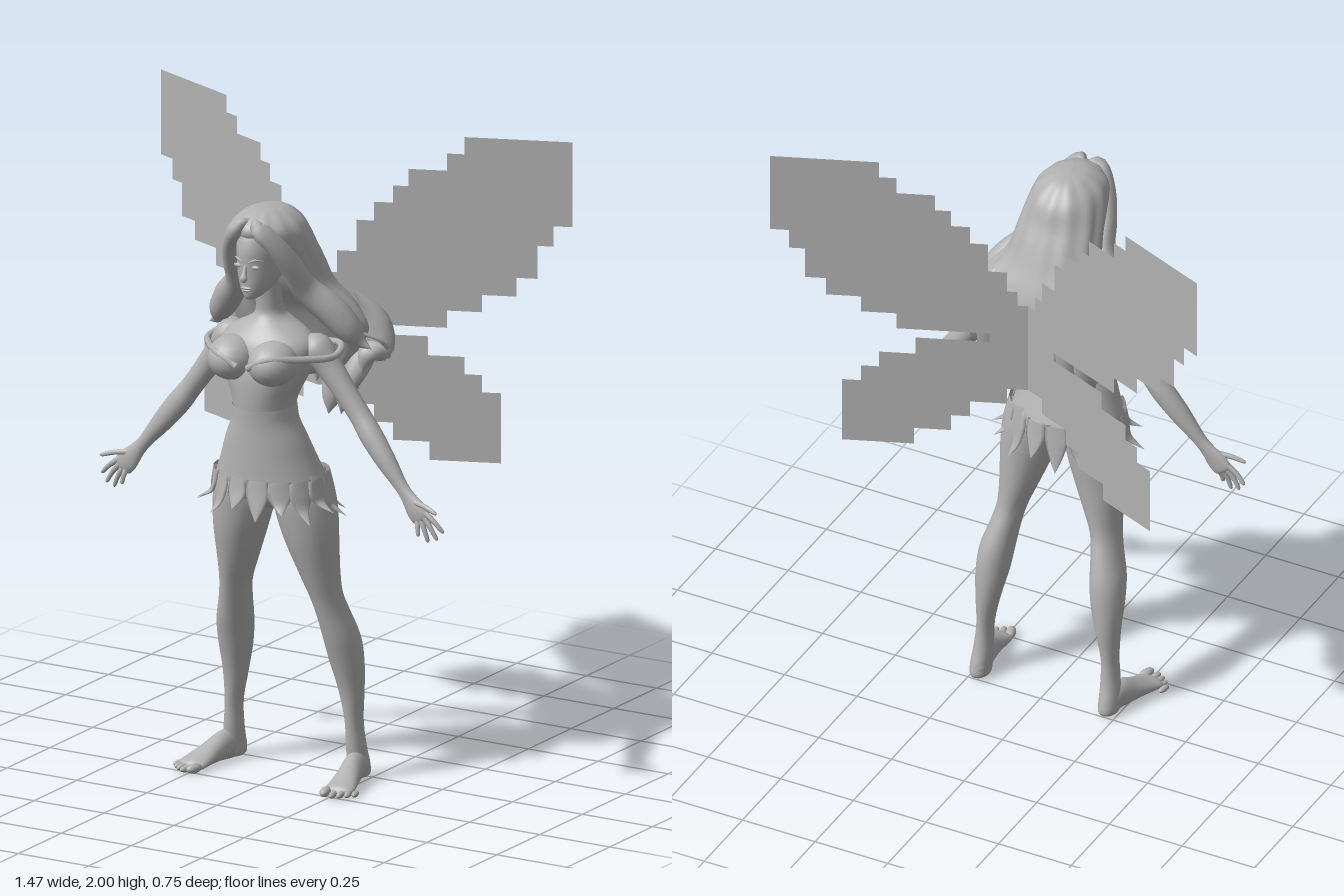
import * as THREE from 'three';

const grey = new THREE.MeshStandardMaterial({ color: 0xb2b2b2, side: THREE.DoubleSide });
grey.name = 'clay grey';

// Smooth skin through elliptical sections [x, y, z, a, b].
// Level sections lie flat; otherwise they stand across the path, with a along ref.
function loft(rows, { level = false, ref = [1, 0, 0], sides = 20, steps = 4, ripple = 0 } = {}) {
  const path = new THREE.CatmullRomCurve3(rows.map(r => new THREE.Vector3(r[0], r[1], r[2])), false, 'catmullrom');
  const size = new THREE.CatmullRomCurve3(rows.map(r => new THREE.Vector3(r[3], r[4], 0)), false, 'catmullrom');
  const n = (rows.length - 1) * steps, pos = [], index = [];
  const up = new THREE.Vector3(0, Math.sign(rows[rows.length - 1][1] - rows[0][1]), 0);
  for (let i = 0; i <= n; i++) {
    const c = path.getPoint(i / n), s = size.getPoint(i / n);
    const t = level ? up : path.getTangent(i / n);
    const u = new THREE.Vector3(...ref);
    u.addScaledVector(t, -u.dot(t)).normalize();
    const v = new THREE.Vector3().crossVectors(t, u);
    for (let j = 0; j < sides; j++) {
      const w = j / sides * Math.PI * 2, k = 1 + ripple * Math.cos(w * 12);
      const p = c.clone().addScaledVector(u, Math.max(s.x, 0) * k * Math.cos(w))
        .addScaledVector(v, Math.max(s.y, 0) * k * Math.sin(w));
      pos.push(p.x, p.y, p.z);
      if (i < n) {
        const a = i * sides + j, b = i * sides + (j + 1) % sides;
        index.push(a, b, b + sides, a, b + sides, a + sides);
      }
    }
  }
  const g = new THREE.BufferGeometry();
  g.setAttribute('position', new THREE.Float32BufferAttribute(pos, 3));
  g.setIndex(index);
  g.computeVertexNormals();
  return g;
}

// Profile rows [y, half width, front z, back z] to level sections
const profile = rows => rows.map(([y, w, f, b]) => [0, y, (f + b) / 2, w, (f - b) / 2]);
const flip = (rows, s) => rows.map(([x, ...rest]) => [x * s, ...rest]);

export function createModel() {
  const model = new THREE.Group();
  const add = (name, geometry) => {
    const m = new THREE.Mesh(geometry, grey);
    m.name = name;
    model.add(m);
    return m;
  };
  const blob = (name, x, y, z, a, b, c) => {
    const m = add(name, new THREE.SphereGeometry(1, 20, 14));
    m.position.set(x, y, z);
    m.scale.set(a, b, c);
    return m;
  };

  // Torso and neck
  add('torso', loft(profile([
    [1.60, 0.04, 0.25, 0.16], [1.54, 0.04, 0.24, 0.155], [1.50, 0.043, 0.237, 0.145], [1.475, 0.065, 0.25, 0.12],
    [1.445, 0.12, 0.275, 0.10], [1.41, 0.155, 0.30, 0.085], [1.36, 0.152, 0.315, 0.085], [1.30, 0.13, 0.325, 0.09],
    [1.24, 0.102, 0.325, 0.11], [1.18, 0.094, 0.32, 0.12], [1.10, 0.12, 0.31, 0.10]]), { level: true, sides: 32 }));
  blob('pelvis', 0, 0.97, 0.17, 0.165, 0.105, 0.115);

  // Skirt with a ragged hem of leaf points
  add('skirt', loft(profile([[1.21, 0.096, 0.327, 0.115], [1.16, 0.104, 0.325, 0.11], [1.10, 0.13, 0.325, 0.09],
    [1.04, 0.152, 0.325, 0.065], [0.98, 0.175, 0.325, 0.04], [0.945, 0.188, 0.328, 0.03]]), { level: true, sides: 40 }));
  for (let i = 0; i < 16; i++) {
    const w = (i + 0.5) / 16 * Math.PI * 2, c = Math.cos(w), s = Math.sin(w);
    const drop = (i % 2 ? 0.075 : 0.045) + (s < -0.3 ? 0.03 : 0);
    const at = (k, y, a, b) => [c * 0.186 * k, y, 0.18 + s * 0.147 * k, a, b];
    add('skirtLeaf', loft([at(0.96, 0.99, 0.034, 0.008), at(1.0, 0.945, 0.037, 0.007),
      at(1.07, 0.94 - drop * 0.55, 0.02, 0.005), at(1.1 + 0.25 * Math.abs(c), 0.94 - drop, 0, 0)],
    { ref: [-s, 0, c], sides: 8 }));
  }

  // Head and face
  add('head', loft(profile([[1.56, 0, 0.305, 0.295], [1.566, 0.02, 0.322, 0.26], [1.59, 0.042, 0.33, 0.2],
    [1.63, 0.061, 0.333, 0.15], [1.68, 0.071, 0.337, 0.1], [1.73, 0.073, 0.336, 0.09],
    [1.78, 0.058, 0.31, 0.11], [1.815, 0, 0.21, 0.2]]), { level: true, sides: 32 }));
  add('nose', loft([[0, 1.685, 0.328, 0.005, 0.006], [0, 1.65, 0.339, 0.008, 0.009],
    [0, 1.632, 0.345, 0.012, 0.010], [0, 1.622, 0.334, 0, 0]], { sides: 12 }));
  blob('upperLip', 0, 1.602, 0.331, 0.019, 0.005, 0.007);
  blob('lowerLip', 0, 1.594, 0.329, 0.015, 0.005, 0.007);

  // Hair mass
  add('hair', loft(profile([[1.836, 0, 0.21, 0.2], [1.827, 0.05, 0.27, 0.13], [1.80, 0.092, 0.318, 0.09],
    [1.765, 0.114, 0.328, 0.06], [1.71, 0.128, 0.28, 0.04], [1.65, 0.138, 0.235, 0.01], [1.58, 0.155, 0.20, -0.02],
    [1.51, 0.21, 0.14, -0.05], [1.44, 0.24, 0.10, -0.068], [1.37, 0.21, 0.07, -0.07], [1.29, 0.15, 0.055, -0.055],
    [1.24, 0, 0.01, 0]]), { level: true, sides: 72, ripple: 0.02 }));

  for (const s of [1, -1]) {
    const limb = (name, rows, options) => add(name, loft(flip(rows, s), options));

    blob('breast', s * 0.072, 1.362, 0.288, 0.076, 0.07, 0.087);
    blob('eye', s * 0.03, 1.67, 0.326, 0.015, 0.007, 0.007);
    limb('eyebrow', [[0.012, 1.685, 0.335, 0.002, 0.003], [0.03, 1.693, 0.33, 0.004, 0.004],
      [0.052, 1.69, 0.31, 0.001, 0.001]], { ref: [0, 1, 0], sides: 8 });

    // Off-shoulder strap
    const strap = [[0.02, 1.355, 0.355], [0.085, 1.39, 0.358], [0.16, 1.385, 0.28], [0.222, 1.38, 0.18],
      [0.19, 1.395, 0.09], [0.08, 1.385, 0.075]].map(p => new THREE.Vector3(p[0] * s, p[1], p[2]));
    add('strap', new THREE.TubeGeometry(new THREE.CatmullRomCurve3(strap), 32, 0.011, 8));

    // Locks framing the face, then falling over the shoulders and back
    limb('frontLock', [[0.0, 1.81, 0.285, 0, 0], [0.035, 1.79, 0.315, 0.025, 0.03], [0.08, 1.735, 0.285, 0.024, 0.036],
      [0.105, 1.66, 0.235, 0.03, 0.04], [0.122, 1.58, 0.18, 0.036, 0.045], [0.18, 1.51, 0.13, 0.045, 0.05],
      [0.225, 1.45, 0.10, 0.04, 0.045], [0.25, 1.41, 0.08, 0.02, 0.025], [0.29, 1.385, 0.07, 0, 0]], { sides: 14 });
    const locks = [[0.04, 1.22, -0.02], [0.10, 1.13, 0.0], [0.155, 1.14, 0.01], [0.19, 1.2, 0.02], [0.24, 1.28, 0.02]];
    for (const [x, y, z] of locks)
      limb('backLock', [[x * 0.8, 1.55, 0.02, 0, 0], [x, 1.45, -0.035, 0.042, 0.035],
        [x * 1.08, 1.36, -0.035, 0.042, 0.035], [x, y + 0.07, z - 0.01, 0.034, 0.028], [x * 0.92, y, z, 0, 0]],
      { sides: 12 });
    const curl = [[0.02, 1.46, -0.06], [0.09, 1.43, -0.105], [0.18, 1.38, -0.088], [0.28, 1.33, -0.045],
      [0.285, 1.39, 0.0], [0.24, 1.42, 0.04]].map(p => new THREE.Vector3(p[0] * s, p[1], p[2]));
    add('curl', new THREE.TubeGeometry(new THREE.CatmullRomCurve3(curl), 32, 0.006, 6));

    // Arm and hand
    limb('arm', [[0.105, 1.43, 0.17, 0, 0], [0.145, 1.40, 0.168, 0.05, 0.047], [0.19, 1.345, 0.162, 0.041, 0.043],
      [0.25, 1.265, 0.157, 0.034, 0.036], [0.303, 1.195, 0.155, 0.033, 0.034], [0.345, 1.14, 0.16, 0.034, 0.037],
      [0.40, 1.072, 0.166, 0.029, 0.032], [0.455, 1.005, 0.171, 0.019, 0.022], [0.485, 0.97, 0.174, 0.016, 0.025],
      [0.515, 0.935, 0.177, 0.015, 0.035], [0.537, 0.91, 0.177, 0.011, 0.03], [0.543, 0.902, 0.177, 0, 0]],
    { ref: [0, 0, 1] });
    const fingers = [[0.548, 0.932, 0.612, 0.878, 0.176], [0.543, 0.92, 0.592, 0.852, 0.18],
      [0.532, 0.91, 0.562, 0.843, 0.184], [0.52, 0.906, 0.53, 0.858, 0.19], [0.505, 0.962, 0.603, 0.943, 0.2]];
    for (const [x, y, X, Y, Z] of fingers)
      limb('finger', [[x - (X - x) * 0.2, y - (Y - y) * 0.2, 0.177, 0.009, 0.01], [x, y, 0.178, 0.01, 0.01],
        [(x + X) / 2, (y + Y) / 2 + 0.004, (0.177 + Z) / 2 + 0.003, 0.008, 0.008],
        [x + (X - x) * 0.9, y + (Y - y) * 0.9, Z, 0.006, 0.006], [X, Y, Z, 0, 0]], { ref: [0, 0, 1], sides: 8 });

    // Leg
    limb('leg', [[0.10, 1.0, 0.165, 0.08, 0.095], [0.105, 0.92, 0.162, 0.094, 0.104], [0.115, 0.85, 0.158, 0.092, 0.1],
      [0.128, 0.77, 0.152, 0.079, 0.09], [0.146, 0.67, 0.138, 0.058, 0.074], [0.161, 0.60, 0.125, 0.046, 0.064],
      [0.174, 0.54, 0.106, 0.046, 0.066], [0.19, 0.46, 0.082, 0.053, 0.069], [0.198, 0.38, 0.065, 0.051, 0.06],
      [0.206, 0.29, 0.052, 0.038, 0.047], [0.214, 0.19, 0.049, 0.026, 0.037], [0.218, 0.11, 0.044, 0.029, 0.038],
      [0.221, 0.05, 0.033, 0.031, 0.043], [0.221, 0.012, 0.03, 0.029, 0.042], [0.221, 0, 0.03, 0, 0]], { level: true });

    // Foot and toes
    limb('foot', [[0.216, 0.03, -0.014, 0, 0], [0.219, 0.036, 0.01, 0.027, 0.034], [0.23, 0.048, 0.07, 0.032, 0.048],
      [0.245, 0.036, 0.13, 0.037, 0.036], [0.257, 0.023, 0.185, 0.045, 0.023], [0.264, 0.015, 0.225, 0.045, 0.015],
      [0.266, 0.012, 0.24, 0, 0]]);
    [[0.234, 0.25, 0.016, 0.03], [0.261, 0.25, 0.011, 0.028], [0.281, 0.238, 0.011, 0.027],
      [0.299, 0.224, 0.01, 0.025], [0.315, 0.208, 0.01, 0.022]].forEach(([x, z, r, l]) => {
      blob('toe', s * x, r * 0.95, z, r, r * 0.95, l).rotation.y = s * 0.25;
    });

    // Stepped wings: each pair of numbers is one step's x and y, walked as a staircase
    const wing = (name, points) => {
      const shape = new THREE.Shape(points.map(([x, y]) => new THREE.Vector2(x * s, y)));
      const g = new THREE.ShapeGeometry(shape), p = g.attributes.position;
      for (let i = 0; i < p.count; i++) p.setZ(i, -0.08 - 0.4 * Math.abs(p.getX(i)));
      g.computeVertexNormals();
      add(name, g);
    };
    const stairs = corners => corners.flatMap(([x, y], i) => i ? [[x, corners[i - 1][1]], [x, y]] : [[x, y]]);
    wing('upperWing', stairs([[0, 1.375], [0.11, 1.39], [0.375, 1.445], [0.475, 1.50], [0.575, 1.56], [0.635, 1.665],
      [0.68, 1.73], [0.735, 2.0], [0.425, 1.945], [0.375, 1.89], [0.265, 1.835], [0.22, 1.78], [0.165, 1.72],
      [0.115, 1.62], [0.06, 1.55], [0.03, 1.50], [0, 1.49]]));
    wing('lowerWing', stairs([[0, 1.375], [0.11, 1.36], [0.32, 1.30], [0.425, 1.245], [0.475, 1.19], [0.53, 0.967],
      [0.325, 1.025], [0.22, 1.08], [0.165, 1.135], [0.06, 1.19], [0, 1.2]]));
  }
  return model;
}
